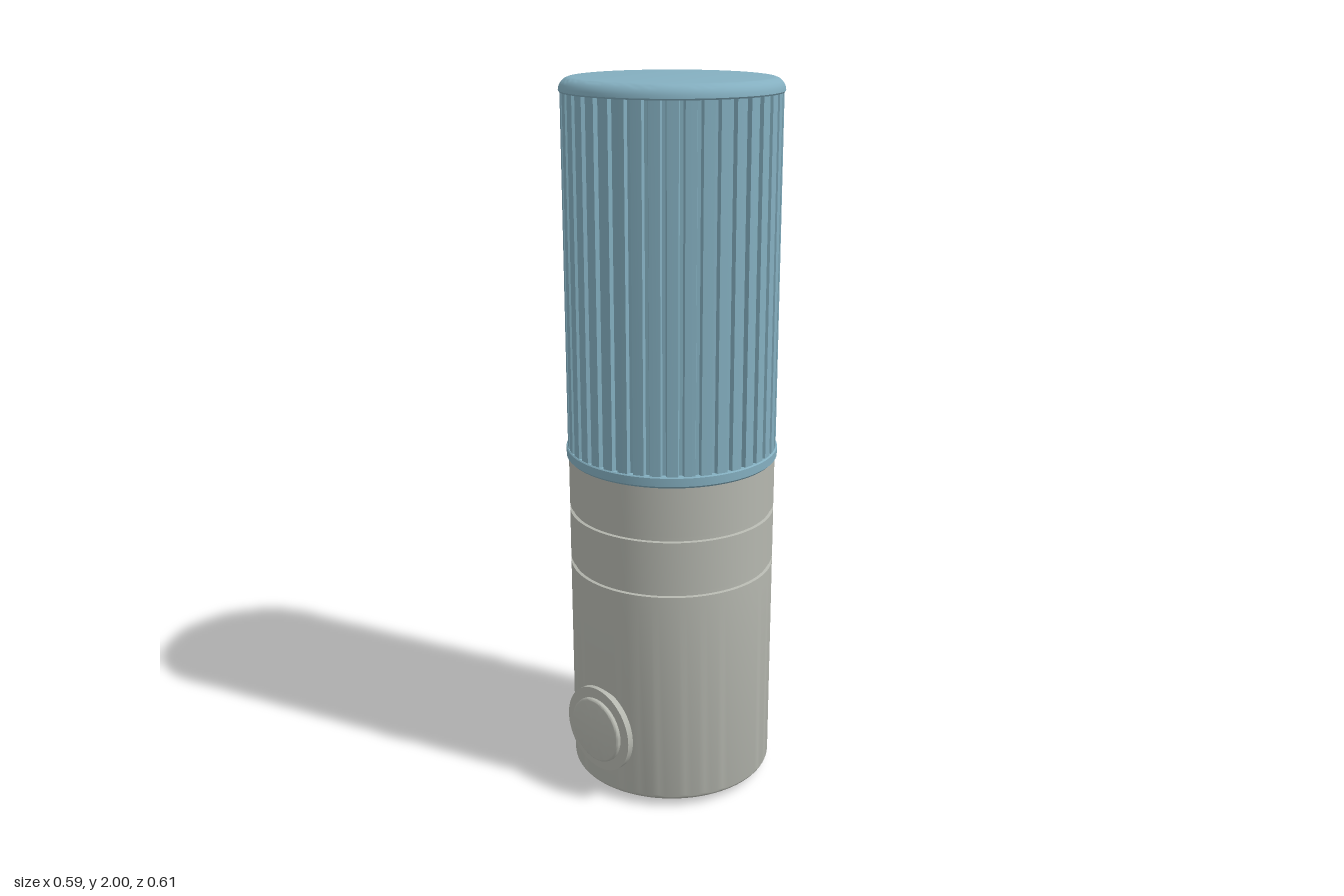
import * as THREE from 'three';
import { toCreasedNormals } from 'three/addons/utils/BufferGeometryUtils.js';

const material = (name, color) => {
  const m = new THREE.MeshStandardMaterial({ color });
  m.name = name;
  return m;
};

// Solid of revolution about y, from [radius, height] pairs listed bottom to top
function turned(name, profile, mat, segments = 96) {
  const points = profile.map(([r, y]) => new THREE.Vector2(r, y));
  const geometry = toCreasedNormals(new THREE.LatheGeometry(points, segments), 0.6);
  const mesh = new THREE.Mesh(geometry, mat);
  mesh.name = name;
  return mesh;
}

// Quarter-round corner between a side wall and a flat end
function corner(r, y, radius, top, steps = 6) {
  const points = [];
  for (let i = 0; i <= steps; i++) {
    const a = (i / steps) * Math.PI / 2;
    points.push(top
      ? [r - radius + radius * Math.cos(a), y - radius + radius * Math.sin(a)]
      : [r - radius + radius * Math.sin(a), y + radius - radius * Math.cos(a)]);
  }
  return points;
}

// Narrow groove running round the body
const groove = (r, y) => [[r, y - 0.008], [r - 0.008, y - 0.006], [r - 0.008, y + 0.006], [r, y + 0.008]];

// Grip section with vertical flutes
function flutedGrip(mat) {
  const count = 40, outer = 0.292, inner = 0.28;
  const step = (Math.PI * 2) / count;
  const outline = [];
  for (let i = 0; i < count; i++) {
    for (const [t, r] of [[-0.32, outer], [0, outer], [0.32, outer], [0.4, inner], [0.6, inner]]) {
      const a = (i + t) * step;
      outline.push(new THREE.Vector2(r * Math.cos(a), r * Math.sin(a)));
    }
  }
  const geometry = new THREE.ExtrudeGeometry(new THREE.Shape(outline), { depth: 0.97, bevelEnabled: false });
  geometry.rotateX(-Math.PI / 2);
  const mesh = new THREE.Mesh(toCreasedNormals(geometry, 0.3), mat);
  mesh.name = 'flutedGrip';
  mesh.position.y = 0.995;
  return mesh;
}

// Foot plate with four short slots near its rim
function footPlate(mat) {
  const shape = new THREE.Shape().absarc(0, 0, 0.155, 0, Math.PI * 2, false);
  for (let i = 0; i < 4; i++) {
    const a = Math.PI / 4 + (i * Math.PI) / 2;
    const slot = new THREE.Path();
    slot.absarc(0, 0, 0.14, a - 0.12, a + 0.12, false);
    slot.absarc(0, 0, 0.125, a + 0.12, a - 0.12, true);
    shape.holes.push(slot);
  }
  const ring = new THREE.Path().absarc(0, 0, 0.053, 0, Math.PI * 2, true);
  shape.holes.push(ring);
  const geometry = new THREE.ExtrudeGeometry(shape, { depth: 0.012, bevelEnabled: false, curveSegments: 48 });
  geometry.rotateX(-Math.PI / 2);
  const mesh = new THREE.Mesh(toCreasedNormals(geometry, 0.6), mat);
  mesh.name = 'footPlate';
  return mesh;
}

export function createModel() {
  const model = new THREE.Group();
  model.name = 'cylinderDevice';
  const blue = material('blueGrip', 0x84afc0);
  const grey = material('warmGrey', 0xb5b7af);
  const dark = material('darkGrey', 0x50534f);

  // Upright parts share one axis, set slightly back to balance the button
  const column = new THREE.Group();
  column.name = 'column';
  column.position.z = -0.012;
  model.add(column);

  column.add(turned('body', [
    [0, 0.018], ...corner(0.29, 0.018, 0.018, false),
    ...groove(0.29, 0.66), ...groove(0.29, 0.82),
    [0.29, 0.98], [0, 0.98],
  ], grey));

  // Blue cover: lower collar, flutes and rounded lid
  column.add(turned('collar', [[0, 0.968], [0.29, 0.968], [0.296, 0.974], [0.296, 0.997], [0.293, 1], [0, 1]], blue));
  column.add(flutedGrip(blue));
  column.add(turned('lid', [[0, 1.962], [0.293, 1.962], ...corner(0.296, 2, 0.034, true), [0, 2]], blue));

  // Underside: slotted foot with a central boss
  column.add(footPlate(dark));
  column.add(turned('footBacking', [[0, 0.008], [0.154, 0.008], [0.154, 0.02], [0, 0.02]], dark));
  column.add(turned('footBoss', [[0, 0.006], [0.01, 0.006], [0.01, 0.001], [0.048, 0.001], [0.048, 0.012], [0, 0.012]], dark, 48));

  // Round push button on the front
  const button = new THREE.Group();
  button.name = 'button';
  button.position.set(0.004, 0.21, 0);
  button.rotation.x = Math.PI / 2;
  button.add(turned('buttonRing', [[0, 0.273], [0.125, 0.273], [0.125, 0.291], [0, 0.291]], grey, 64));
  button.add(turned('buttonCap', [[0, 0.289], [0.092, 0.289], [0.095, 0.293], ...corner(0.095, 0.305, 0.006, true, 3), [0, 0.305]], grey, 64));
  model.add(button);

  return model;
}
